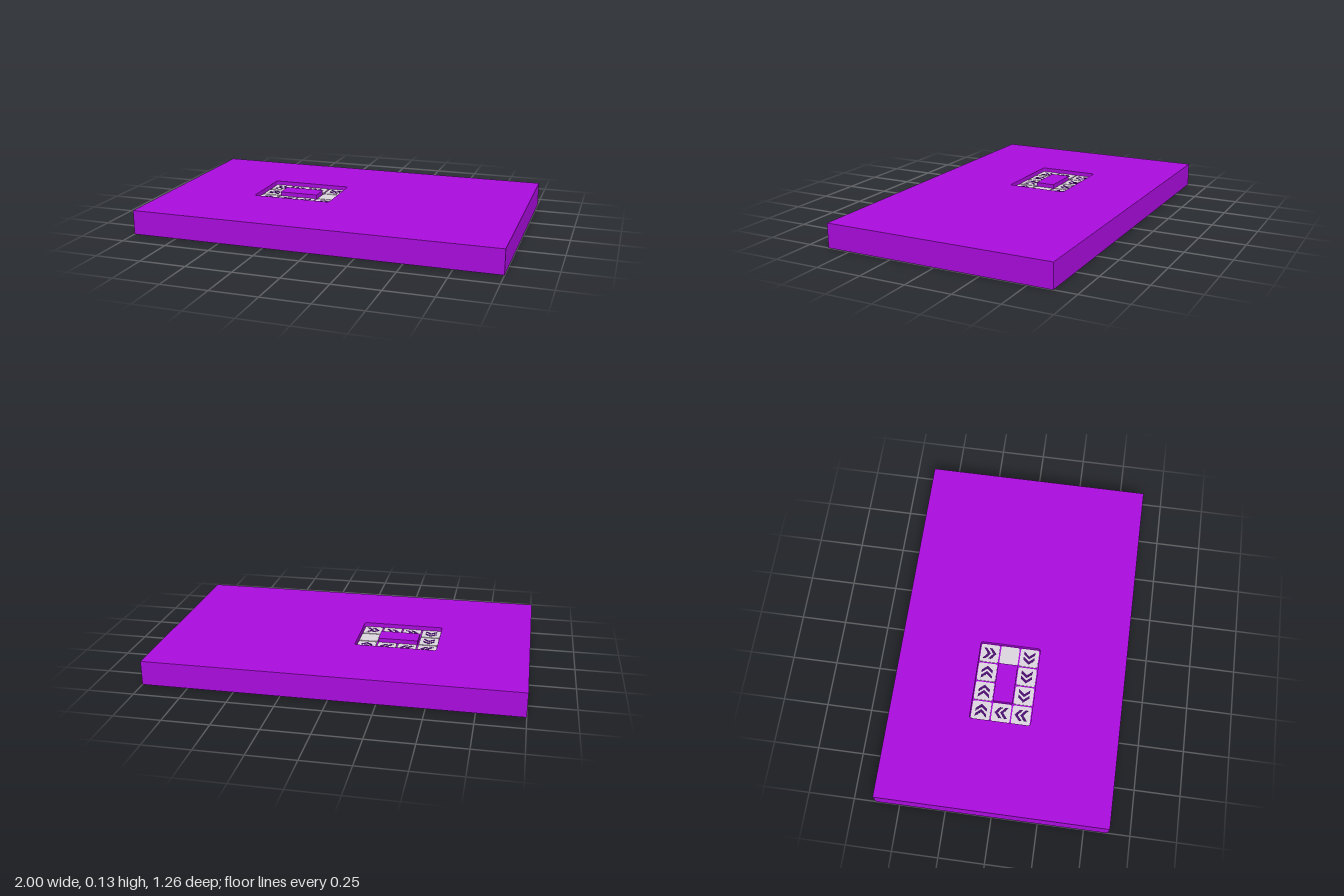
import * as THREE from 'three';

const W = 2, D = 1.26, H = 0.133, DEPTH = 0.025;
const PITCH = 0.111, TILE = 0.103, CX = -0.28, CZ = -0.022;

function roundedRect(PathType, x, y, w, h, r) {
  const p = new PathType(), a = w / 2, b = h / 2;
  p.absarc(x + a - r, y + b - r, r, 0, Math.PI / 2);
  p.absarc(x - a + r, y + b - r, r, Math.PI / 2, Math.PI);
  p.absarc(x - a + r, y - b + r, r, Math.PI, Math.PI * 1.5);
  p.absarc(x + a - r, y - b + r, r, Math.PI * 1.5, Math.PI * 2);
  p.closePath();
  return p;
}

// Extrude a plan shape (x, -z) upwards from height y
function slab(shape, height, y, material, name) {
  const geo = new THREE.ExtrudeGeometry(shape, { depth: height, bevelEnabled: false, curveSegments: 5 });
  geo.rotateX(-Math.PI / 2);
  const mesh = new THREE.Mesh(geo, material);
  mesh.position.y = y;
  mesh.name = name;
  return mesh;
}

// V-shaped stroke pointing to +x
function chevronShape(x) {
  const s = 0.031, t = 0.017, k = 0.026;
  return new THREE.Shape([
    [x, -s], [x + t, -s], [x + t + k, 0], [x + t, s], [x, s], [x + k, 0],
  ].map(([a, b]) => new THREE.Vector2(a, b)));
}

export function createModel() {
  const model = new THREE.Group();
  model.name = 'board';
  const purple = new THREE.MeshStandardMaterial({ color: 0xaa0cdd });
  const dark = new THREE.MeshStandardMaterial({ color: 0x4a0f70 });
  const grey = new THREE.MeshStandardMaterial({ color: 0xdcd6de });

  // Lower body, and a top plate with the recess cut through it
  const base = new THREE.Mesh(new THREE.BoxGeometry(W, H - DEPTH, D), purple);
  base.position.y = (H - DEPTH) / 2;
  base.name = 'base';
  const plate = new THREE.Shape([[-1, -1], [1, -1], [1, 1], [-1, 1]]
    .map(([x, y]) => new THREE.Vector2(x * W / 2, y * D / 2)));
  plate.holes.push(roundedRect(THREE.Path, CX, -CZ, PITCH * 4 + 0.002, PITCH * 3 + 0.002, 0.012));
  model.add(base, slab(plate, DEPTH, H - DEPTH, purple, 'topPlate'));

  // Island left standing in the middle of the track
  const island = roundedRect(THREE.Shape, CX, -CZ, PITCH * 2 - 0.002, PITCH - 0.002, 0.006);
  model.add(slab(island, DEPTH, H - DEPTH, purple, 'island'));

  // Ring of tiles: each letter gives the arrow direction, o is blank, . is empty
  const layout = ['RRRD', 'U..o', 'ULLL'];
  const turn = { R: 0, U: Math.PI / 2, L: Math.PI, D: -Math.PI / 2 };
  layout.forEach((row, j) => [...row].forEach((c, i) => {
    if (c === '.') return;
    const tile = new THREE.Group();
    tile.name = 'tile';
    tile.add(slab(roundedRect(THREE.Shape, 0, 0, TILE, TILE, 0.01), 0.004, 0, grey, 'tilePlate'));
    if (c !== 'o') {
      for (const x of [-0.037, -0.006]) tile.add(slab(chevronShape(x), 0.001, 0.004, dark, 'chevron'));
      tile.rotation.y = turn[c];
    }
    tile.position.set(CX + (i - 1.5) * PITCH, H - DEPTH, CZ + (j - 1) * PITCH);
    model.add(tile);
  }));
  return model;
}
